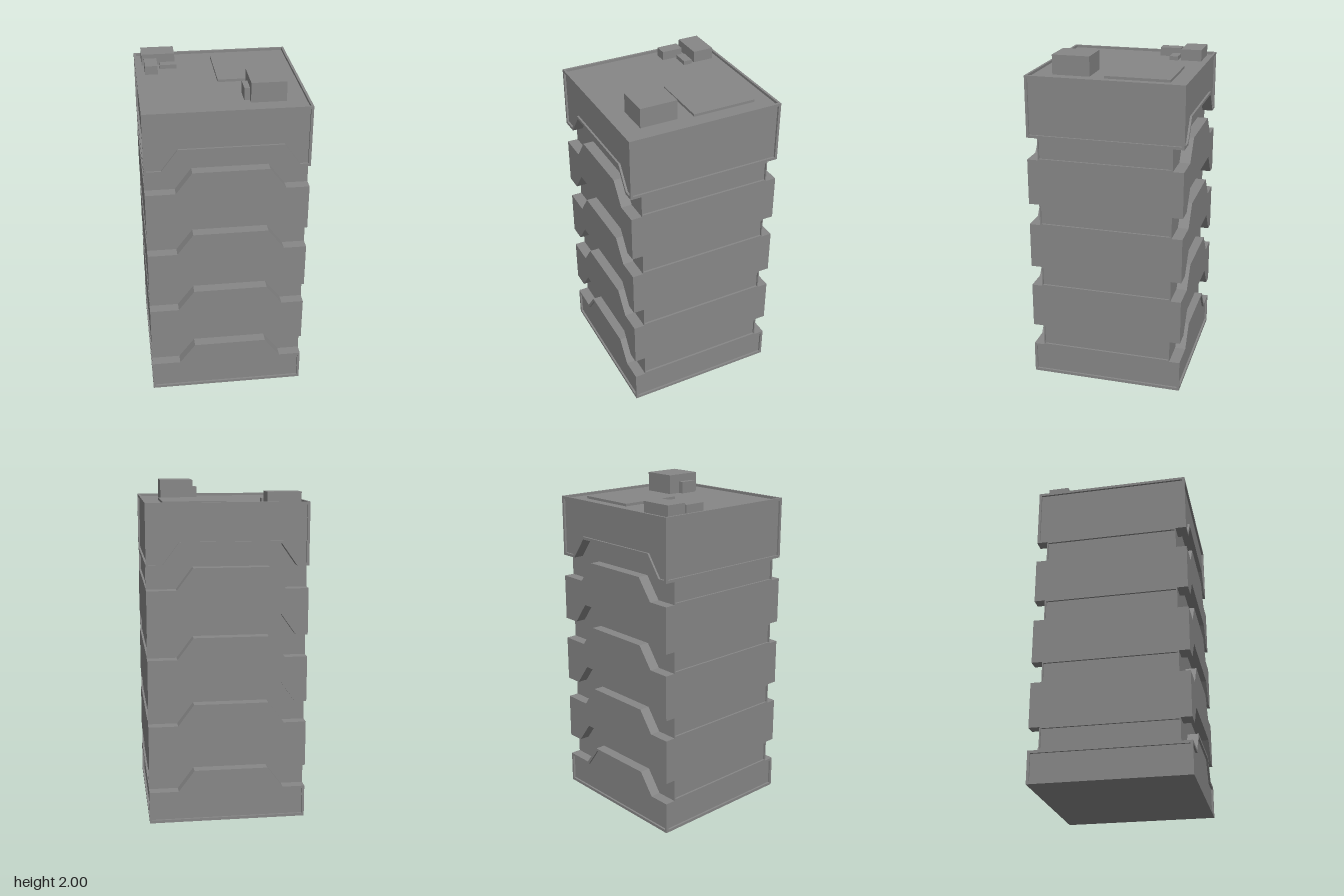
import * as THREE from 'three';

const HX = 0.469, HZ = 0.464;      // half width and half depth
const CORE_Z = 0.40;               // wall line inside the grooves
const INSET = 0.012;               // depth of the recessed panels
const ROOF = 1.885, TOP = 1.9, RISE = 0.127;

// x positions of the stepped edges: leg start, peak start, peak end, leg end
const NARROW = [-0.295, -0.20, 0.24, 0.335];
const WIDE = [-0.365, -0.27, 0.31, 0.40];

const material = new THREE.MeshStandardMaterial({ color: 0x878787, flatShading: true });

function add(parent, name, geometry, x = 0, y = 0, z = 0) {
  const mesh = new THREE.Mesh(geometry, material);
  mesh.name = name;
  mesh.position.set(x, y, z);
  parent.add(mesh);
  return mesh;
}

const shapeOf = (pts) => new THREE.Shape(pts.map(([x, y]) => new THREE.Vector2(x, y)));
const extrude = (shape, depth) => new THREE.ExtrudeGeometry(shape, { depth, bevelEnabled: false });
const rect = (w, y0, y1) => [[-w, y0], [w, y0], [w, y1], [-w, y1]];

function withHoles(outline, ...holes) {
  const shape = shapeOf(outline);
  holes.forEach((h) => shape.holes.push(shapeOf(h)));
  return shape;
}

// stepped edge from left to right, shifted sideways by dx on its legs
function step(w, y, [a, b, c, d], dx = 0) {
  return [[-w, y], [a + dx, y], [b + dx, y + RISE], [c - dx, y + RISE], [d - dx, y], [w, y]];
}
const bandShape = (w, y0, y1) =>
  [...step(w, y0, WIDE), ...step(w, y1, NARROW).reverse()];
const baseShape = (w, y0, y1, dx = 0) =>
  [[-w, y0], [w, y0], ...step(w, y1, NARROW, dx).reverse()];
const crownShape = (w, y0, y1, dx = 0) =>
  [...step(w, y0, WIDE, dx), [w, y1], [-w, y1]];

// box given by its limits
function boxBetween(parent, name, x0, x1, y0, y1, z0, z1) {
  return add(parent, name, new THREE.BoxGeometry(x1 - x0, y1 - y0, z1 - z0),
    (x0 + x1) / 2, (y0 + y1) / 2, (z0 + z1) / 2);
}

// front facade and one side wall; the other half is this one turned around
function createHalf() {
  const half = new THREE.Group();
  const bodyX = HX - INSET, bodyZ = HZ - INSET;

  // plain middle bands
  [[0.327, 0.60], [0.727, 1.00], [1.13, 1.405]].forEach(([y0, y1]) =>
    add(half, 'facadeBand', extrude(shapeOf(bandShape(HX, y0, y1)), HZ - CORE_Z), 0, 0, CORE_Z));

  // bottom and top blocks: a body with a raised frame round the panel
  add(half, 'basePanel', extrude(shapeOf(baseShape(bodyX, 0, 0.193)), bodyZ - CORE_Z), 0, 0, CORE_Z);
  add(half, 'baseFrame', extrude(withHoles(baseShape(HX, 0, 0.193),
    baseShape(0.454, 0.017, 0.177, 0.008)), INSET), 0, 0, bodyZ);
  add(half, 'crownPanel', extrude(shapeOf(crownShape(bodyX, 1.537, ROOF)), bodyZ - CORE_Z), 0, 0, CORE_Z);
  add(half, 'crownFrame', extrude(withHoles(crownShape(HX, 1.537, ROOF),
    crownShape(0.454, 1.553, 1.884, -0.008)), INSET), 0, 0, bodyZ);

  // side wall with recessed window strips at the grooves
  const grooves = [[0.193, 0.327], [0.60, 0.727], [1.00, 1.13], [1.405, 1.537]];
  const windows = grooves.map(([y0, y1]) => rect(0.393, y0 + 0.008, y1 - 0.008));
  const side = [
    ['sideWall', withHoles(rect(CORE_Z, 0.193, 1.537), ...windows)],
    ['sideBaseFrame', withHoles(rect(bodyZ, 0, 0.193), rect(0.449, 0.017, 0.177))],
    ['sideCrownFrame', withHoles(rect(bodyZ, 1.537, ROOF), rect(0.449, 1.553, 1.884))],
  ];
  side.forEach(([name, shape]) => {
    add(half, name, extrude(shape, INSET), bodyX).rotation.y = Math.PI / 2;
  });
  return half;
}

export function createModel() {
  const model = new THREE.Group();
  model.name = 'building';

  // inner core
  boxBetween(model, 'core', -HX + INSET, HX - INSET, 0, ROOF, -CORE_Z, CORE_Z);

  const front = createHalf();
  front.name = 'frontAndLeftWalls';
  const back = createHalf();
  back.name = 'backAndRightWalls';
  back.rotation.y = Math.PI;
  model.add(front, back);

  // low parapet round the roof
  const parapet = withHoles(rect(HX, -HZ, HZ), rect(0.455, -0.45, 0.45));
  add(model, 'parapet', extrude(parapet, TOP - ROOF), 0, ROOF, 0).rotation.x = -Math.PI / 2;

  // roof equipment
  const roof = new THREE.Group();
  roof.name = 'roofEquipment';
  boxBetween(roof, 'roofSlab', -0.005, 0.362, ROOF, TOP, -0.355, 0.026);
  boxBetween(roof, 'stairHouse', 0.142, 0.342, ROOF, 2.0, 0.118, 0.34);
  boxBetween(roof, 'stairHouseDuct', 0.11, 0.142, ROOF, 1.955, 0.193, 0.3);
  boxBetween(roof, 'largeVent', -0.428, -0.23, ROOF, 1.953, -0.413, -0.288);
  boxBetween(roof, 'smallVent', -0.415, -0.34, ROOF, 1.937, -0.263, -0.135);
  boxBetween(roof, 'lowVent', -0.323, -0.222, ROOF, 1.909, -0.27, -0.218);
  model.add(roof);

  return model;
}
